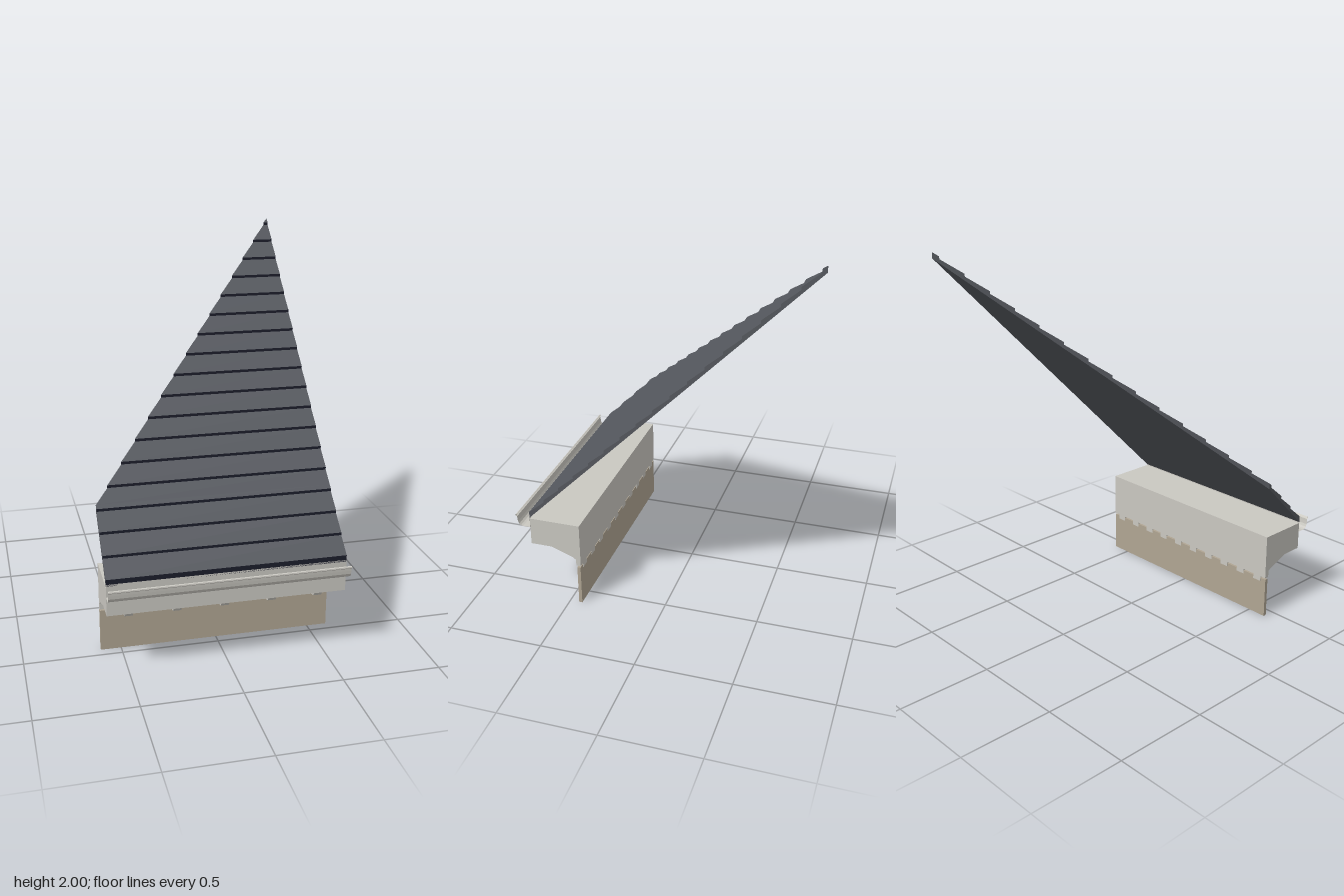
import * as THREE from 'three';

const HALF = 0.605; // half width of the whole section

const mat = (name, color, side = THREE.FrontSide) =>
  Object.assign(new THREE.MeshStandardMaterial({ color, side }), { name });

// Extrudes a [z, y] profile along x, centred on x
function extrudeX(profile, width, x = 0) {
  const shape = new THREE.Shape(profile.map(([z, y]) => new THREE.Vector2(z, y)));
  const g = new THREE.ExtrudeGeometry(shape, { depth: width, bevelEnabled: false });
  return g.translate(0, 0, -width / 2).rotateY(-Math.PI / 2).translate(x, 0, 0);
}

// Collects quads (counter-clockwise from outside) as a flat-shaded geometry
function quadsToGeometry(quads) {
  const pos = [];
  for (const [a, b, c, d] of quads) pos.push(...a, ...b, ...c, ...a, ...c, ...d);
  const g = new THREE.BufferGeometry();
  g.setAttribute('position', new THREE.Float32BufferAttribute(pos, 3));
  g.computeVertexNormals();
  return g;
}

// 45 degree roof: overlapping courses, cut along the hip on the left
function buildRoof() {
  const FRONT = 0.705, BACK = -0.78, KINK = 0.43, STEP = 0.0859;
  const UNDER = 1.187, LOW = 1.208, HIGH = 1.222; // heights at z = 0
  const left = (z) => Math.min(HALF, Math.max(-HALF, -HALF + KINK - z));
  const slates = [], risers = [];

  for (let zf = FRONT; zf > BACK + 0.001; zf -= STEP) {
    const zb = Math.max(BACK, zf - STEP);
    const top = (z) => HIGH - (HIGH - LOW) * (zf - z) / STEP - z;
    const under = (z) => UNDER - z;
    const stations = zf > KINK && zb < KINK ? [zf, KINK, zb] : [zf, zb];
    for (let i = 0; i + 1 < stations.length; i++) {
      const a = stations[i], b = stations[i + 1];
      const la = left(a), lb = left(b);
      const TLa = [la, top(a), a], TRa = [HALF, top(a), a];
      const TLb = [lb, top(b), b], TRb = [HALF, top(b), b];
      const BLa = [la, under(a), a], BRa = [HALF, under(a), a];
      const BLb = [lb, under(b), b], BRb = [HALF, under(b), b];
      slates.push([TLa, TRa, TRb, TLb], [BLb, BRb, BRa, BLa]);
      slates.push([BRa, BRb, TRb, TRa], [BLb, BLa, TLa, TLb]);
    }
    // Dark lower edge of the course; the first one is the full eave edge
    const y0 = zf === FRONT ? under(zf) : LOW - zf, l = left(zf);
    risers.push([[l, y0, zf], [HALF, y0, zf], [HALF, top(zf), zf], [l, top(zf), zf]]);
  }
  return [quadsToGeometry(slates), quadsToGeometry(risers)];
}

// Thin gutter sheet with a rounded front and a curled lip
function buildGutter() {
  const profile = [
    [0.705, 0.492], [0.705, 0.425], [0.745, 0.424], [0.757, 0.427], [0.767, 0.435],
    [0.773, 0.448], [0.775, 0.465], [0.776, 0.478], [0.781, 0.48], [0.784, 0.484],
    [0.783, 0.49], [0.778, 0.493], [0.773, 0.49],
  ];
  const pos = [], index = [];
  profile.forEach(([z, y], i) => {
    pos.push(-HALF, y, z, HALF, y, z);
    if (i) index.push(2 * i - 2, 2 * i, 2 * i - 1, 2 * i - 1, 2 * i, 2 * i + 1);
  });
  const g = new THREE.BufferGeometry();
  g.setAttribute('position', new THREE.Float32BufferAttribute(pos, 3));
  g.setIndex(index);
  const flat = g.toNonIndexed();
  flat.computeVertexNormals();
  return flat;
}

export function createModel() {
  const model = new THREE.Group();
  model.name = 'roofEave';
  const slate = mat('slateGrey', 0x55585e);
  const edge = mat('darkNavy', 0x1c1e2c);
  const stone = mat('paleStone', 0xcac8c1);
  const gutterMetal = mat('gutterStone', 0xcac8c1, THREE.DoubleSide);
  const plaster = mat('beigePlaster', 0xb0a593);

  const add = (name, geometry, material, parent = model) => {
    const m = new THREE.Mesh(geometry, material);
    m.name = name;
    parent.add(m);
    return m;
  };

  // Roof
  const [slates, risers] = buildRoof();
  add('roofCourses', slates, slate);
  add('courseEdges', risers, edge);

  // Gutter
  add('gutter', buildGutter(), gutterMetal);

  // Cornice with sloping soffit
  add('cornice', extrudeX([
    [0.43, 0.232], [0.455, 0.232], [0.455, 0.267], [0.47, 0.28],
    [0.59, 0.325], [0.704, 0.325], [0.704, 0.477], [0.43, 0.477],
  ], HALF * 2), stone);

  // Brackets under the cornice
  const brackets = new THREE.Group();
  brackets.name = 'brackets';
  model.add(brackets);
  for (let i = -2; i <= 2; i++) {
    add('bracket', extrudeX([
      [0.45, 0.233], [0.46, 0.233], [0.63, 0.274], [0.66, 0.326], [0.45, 0.326],
    ], 0.042, i * 0.243), stone, brackets);
  }

  // Wall and the small tabs joining it to the cornice
  add('wall', new THREE.BoxGeometry(HALF * 2, 0.222, 0.018).translate(0, 0.111, 0.441), plaster);
  const tabs = new THREE.Group();
  tabs.name = 'tabs';
  model.add(tabs);
  for (let i = 0; i < 10; i++) {
    add('tab', new THREE.BoxGeometry(0.05, 0.03, 0.022).translate(-0.545 + i * 0.121, 0.218, 0.442), stone, tabs);
  }
  return model;
}
